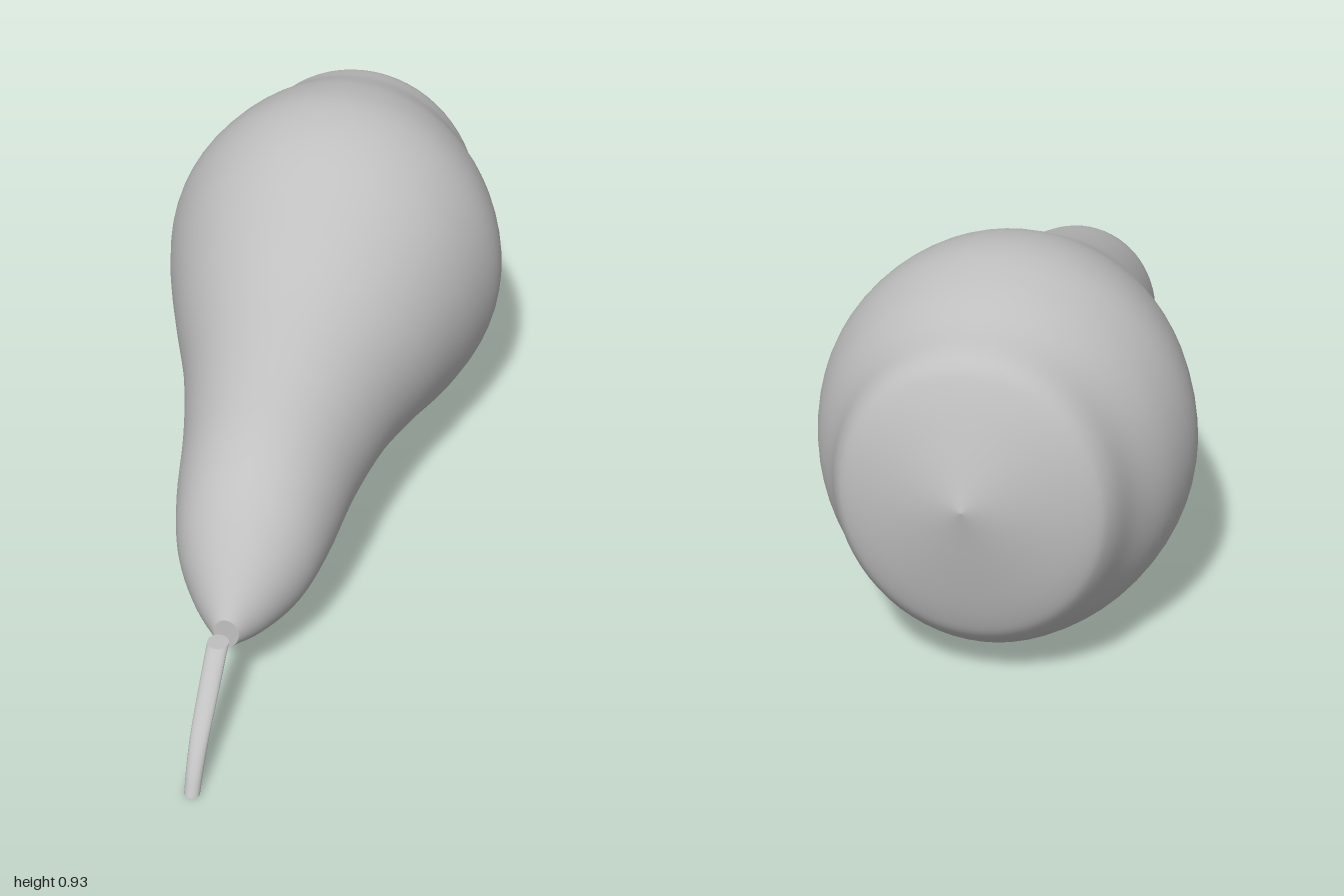
import * as THREE from 'three';

const SIDES = 64;

// Smoothly subdivides rows of numbers, keeping every given row
function subdivide(rows, steps) {
  const size = rows[0].length;
  const spline = new THREE.CubicInterpolant(rows.map((_, i) => i), rows.flat(), size);
  const out = [];
  for (let i = 0; i <= (rows.length - 1) * steps; i++) out.push(Array.from(spline.evaluate(i / steps)));
  return out;
}

// Skins closed rings of equal point count; the chosen ends get flat caps
function loft(rings, capStart, capEnd) {
  const n = rings[0].length;
  const pos = rings.flat(2);
  const index = [];
  for (let i = 0; i < rings.length - 1; i++) {
    for (let j = 0; j < n; j++) {
      const a = i * n + j, b = i * n + (j + 1) % n;
      index.push(a, a + n, b, b, a + n, b + n);
    }
  }
  const cap = (ring, flip) => {
    const base = pos.length / 3;
    pos.push(...ring.flat());
    for (let j = 1; j < n - 1; j++) {
      index.push(base, base + (flip ? j + 1 : j), base + (flip ? j : j + 1));
    }
  };
  if (capStart) cap(rings[0], false);
  if (capEnd) cap(rings[rings.length - 1], true);
  const geo = new THREE.BufferGeometry();
  geo.setAttribute('position', new THREE.Float32BufferAttribute(pos, 3));
  geo.setIndex(index);
  geo.computeVertexNormals();
  return geo;
}

const circle = (fn) => Array.from({ length: SIDES }, (_, j) => {
  const a = (j / SIDES) * Math.PI * 2;
  return fn(Math.cos(a), Math.sin(a));
});

export function createModel() {
  const group = new THREE.Group();
  group.name = 'pear';
  const skin = new THREE.MeshStandardMaterial({ color: 0xc0c0c0 });
  skin.name = 'pale grey';

  // Fruit sections from neck to base: z, bottom y, top y, half width
  const sections = [
    [0.68, 0.185, 0.265, 0.03],
    [0.60, 0.145, 0.38, 0.10],
    [0.50, 0.117, 0.49, 0.16],
    [0.38, 0.117, 0.568, 0.193],
    [0.20, 0.138, 0.637, 0.222],
    [0.00, 0.138, 0.715, 0.272],
    [-0.20, 0.095, 0.815, 0.345],
    [-0.38, 0.03, 0.905, 0.405],
    [-0.53, 0.004, 0.933, 0.433],
    [-0.67, 0.02, 0.912, 0.405],
    [-0.79, 0.07, 0.868, 0.342],
    [-0.88, 0.14, 0.835, 0.307],
    [-0.92, 0.21, 0.775, 0.265],
    [-0.96, 0.35, 0.665, 0.145],
    [-1.00, 0.53, 0.53, 0],
  ];
  const bodyRings = subdivide(sections, 5).map(([z, lo, hi, w]) =>
    circle((c, s) => [w * c, (lo + hi) / 2 + s * (hi - lo) / 2, z]));
  const body = new THREE.Mesh(loft(bodyRings, true, false), skin);
  body.name = 'fruitBody';

  // Stem sections with level cuts, top to bottom: z, y, radius
  const stemSections = [
    [0.724, 0.237, 0.025],
    [0.81, 0.178, 0.024],
    [0.90, 0.115, 0.022],
    [0.95, 0.06, 0.02],
    [0.982, 0.008, 0.018],
  ];
  const stemRings = subdivide(stemSections, 4).map(([z, y, r]) =>
    circle((c, s) => [-0.008 + r * c, y, z - r * s]));
  const stem = new THREE.Mesh(loft(stemRings, true, true), skin);
  stem.name = 'stem';

  group.add(body, stem);
  return group;
}
